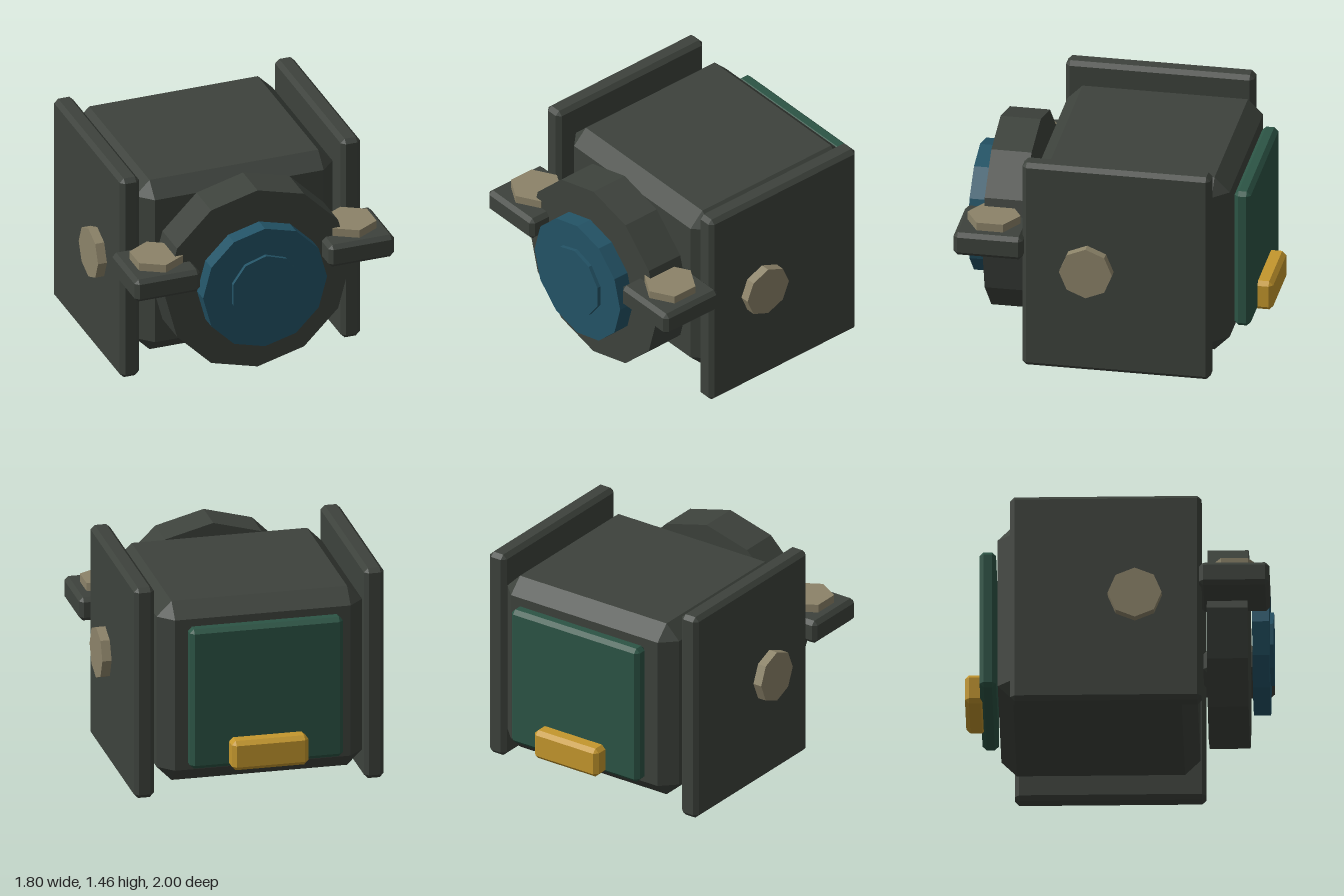
import * as THREE from 'three';
import { ConvexGeometry } from 'three/addons/geometries/ConvexGeometry.js';

const paint = (name, color) => {
  const m = new THREE.MeshStandardMaterial({ color });
  m.name = name;
  return m;
};

// Box between two corners with every edge and corner cut by c
function chamferBox([x0, y0, z0], [x1, y1, z1], c) {
  const half = [(x1 - x0) / 2, (y1 - y0) / 2, (z1 - z0) / 2];
  const mid = new THREE.Vector3((x0 + x1) / 2, (y0 + y1) / 2, (z0 + z1) / 2);
  const points = [];
  for (const sx of [-1, 1]) for (const sy of [-1, 1]) for (const sz of [-1, 1]) {
    for (let axis = 0; axis < 3; axis++) {
      const p = half.map((h, i) => (i === axis ? h : h - c));
      points.push(new THREE.Vector3(p[0] * sx, p[1] * sy, p[2] * sz).add(mid));
    }
  }
  return new ConvexGeometry(points);
}

// Flat-sided disc with its axis along x, y or z
function disc(radius, depth, sides, axis, [x, y, z]) {
  const g = new THREE.CylinderGeometry(radius, radius, depth, sides).toNonIndexed();
  g.computeVertexNormals();
  if (axis === 'x') g.rotateZ(-Math.PI / 2);
  if (axis === 'z') g.rotateX(-Math.PI / 2).rotateY(Math.PI);
  return g.translate(x, y, z);
}

export function createModel() {
  const group = new THREE.Group();
  const casing = paint('dark casing', 0x3d423c);
  const glass = paint('blue glass', 0x235366);
  const metal = paint('tan metal', 0x8c8369);
  const screen = paint('green panel', 0x2c5445);
  const amber = paint('amber', 0xc4972d);

  const add = (name, geometry, material) => {
    const mesh = new THREE.Mesh(geometry, material);
    mesh.name = name;
    group.add(mesh);
  };

  // Main block
  add('body', chamferBox([-0.685, 0.11, -0.78], [0.685, 1.35, 0.51], 0.1), casing);

  // Front barrel and lens
  add('barrel', disc(0.645, 0.265, 12, 'z', [0, 0.73, 0.7075]), casing);
  add('lens', disc(0.43, 0.11, 12, 'z', [0, 0.73, 0.92]), glass);
  add('lensCentre', disc(0.242, 0.06, 10, 'z', [0, 0.73, 0.97]), glass);

  // Rear panel and its bar
  add('backPanel', chamferBox([-0.51, 0.25, -0.9], [0.51, 1.215, -0.793], 0.027), screen);
  add('backBar', chamferBox([-0.255, 0.253, -1], [0.255, 0.455, -0.87], 0.027), amber);

  // Mirrored side plates, hubs, lugs and studs
  for (const [side, s] of [['left', 1], ['right', -1]]) {
    const span = (a, b) => (s > 0 ? [a, b] : [-b, -a]);
    const [p0, p1] = span(0.70, 0.833);
    add(side + 'SidePlate', chamferBox([p0, 0, -0.695], [p1, 1.455, 0.545], 0.028), casing);
    add(side + 'Hub', disc(0.175, 0.1, 8, 'x', [s * 0.845, 0.73, 0.113]), metal);
    const [l0, l1] = span(0.445, 0.9);
    add(side + 'Lug', chamferBox([l0, 0.785, 0.53], [l1, 0.945, 0.985], 0.027), casing);
    add(side + 'Stud', disc(0.175, 0.08, 6, 'y', [s * 0.672, 0.96, 0.757]), metal);
  }
  return group;
}
